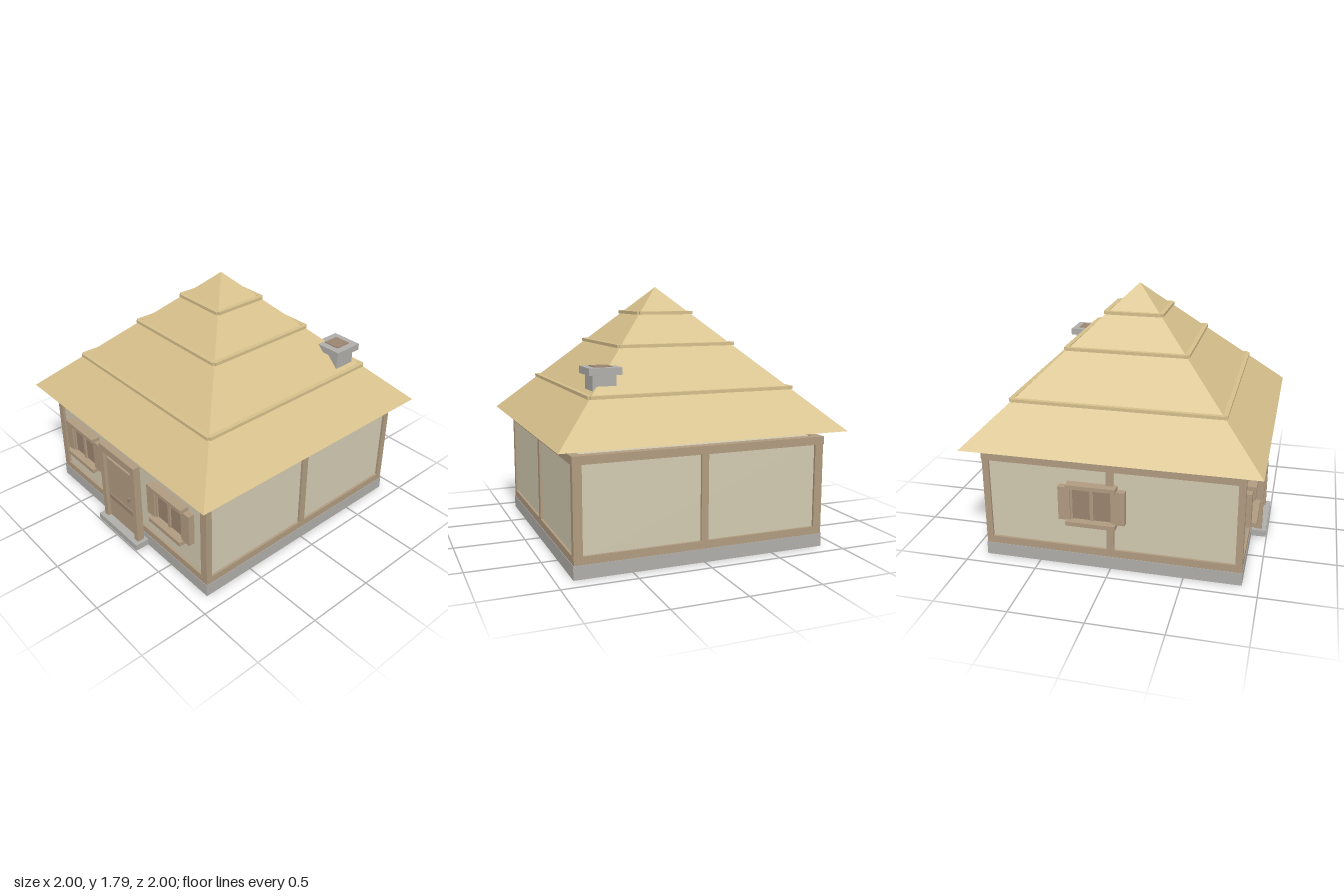
import * as THREE from 'three';

const mat = (color) => new THREE.MeshStandardMaterial({ color, flatShading: true });
const thatch = mat(0xd6bf8b), wood = mat(0xb09b80), plaster = mat(0xd2cab1);
const stone = mat(0xb0aeaa), darkWood = mat(0x9b8470);

// Box given by its limits on each axis
function box(parent, name, material, [x0, x1], [y0, y1], [z0, z1]) {
  const mesh = new THREE.Mesh(new THREE.BoxGeometry(x1 - x0, y1 - y0, z1 - z0), material);
  mesh.position.set((x0 + x1) / 2, (y0 + y1) / 2, (z0 + z1) / 2);
  mesh.name = name;
  parent.add(mesh);
  return mesh;
}

function group(parent, name) {
  const g = new THREE.Group();
  g.name = name;
  parent.add(g);
  return g;
}

// Shuttered window on the +z wall, centred on x = 0 of its group
function makeWindow(parent, name) {
  const g = group(parent, name);
  box(g, 'windowPane', darkWood, [-0.14, 0.14], [0.35, 0.6], [0.86, 0.893]);
  box(g, 'windowSill', wood, [-0.17, 0.17], [0.33, 0.36], [0.865, 0.95]);
  box(g, 'windowLintel', wood, [-0.17, 0.17], [0.595, 0.623], [0.865, 0.938]);
  box(g, 'mullion', wood, [-0.012, 0.012], [0.36, 0.595], [0.87, 0.905]);
  for (const s of [-1, 1]) {
    const shutter = box(g, 'shutter', wood, [-0.041, 0.041], [0.355, 0.595], [0.865, 0.916]);
    shutter.position.x = s * 0.187;
    const jamb = box(g, 'windowJamb', wood, [-0.008, 0.008], [0.36, 0.595], [0.87, 0.905]);
    jamb.position.x = s * 0.138;
  }
  return g;
}

export function createModel() {
  const house = new THREE.Group();
  house.name = 'cottage';

  // Base and walls
  box(house, 'foundation', stone, [-0.89, 0.89], [0, 0.092], [-0.89, 0.89]);
  box(house, 'walls', plaster, [-0.87, 0.87], [0.09, 0.77], [-0.87, 0.87]);

  // Timber frame, one set of beams per side
  const frame = group(house, 'timberFrame');
  for (let i = 0; i < 4; i++) {
    const side = group(frame, 'wallTimbers');
    side.rotation.y = i * Math.PI / 2;
    box(side, 'bottomBeam', wood, [-0.885, 0.885], [0.092, 0.145], [0.83, 0.887]);
    box(side, 'topBeam', wood, [-0.89, 0.89], [0.722, 0.777], [0.83, 0.89]);
    if (i > 0) box(side, 'middlePost', wood, [-0.025, 0.025], [0.145, 0.722], [0.84, 0.887]);
  }
  for (const sx of [-1, 1]) for (const sz of [-1, 1]) {
    const post = box(frame, 'cornerPost', wood, [-0.03, 0.03], [0.145, 0.722], [-0.023, 0.023]);
    post.position.x = sx * 0.856;
    post.position.z = sz * 0.864;
  }

  // Door standing just ahead of the front wall
  const door = group(house, 'doorway');
  box(door, 'doorStep', stone, [-0.235, 0.235], [0.004, 0.052], [0.88, 0.995]);
  box(door, 'doorLintel', wood, [-0.21, 0.21], [0.635, 0.69], [0.908, 0.962]);
  box(door, 'leftJamb', wood, [0.167, 0.21], [0.052, 0.635], [0.908, 0.962]);
  box(door, 'rightJamb', wood, [-0.21, -0.167], [0.052, 0.635], [0.908, 0.962]);
  box(door, 'doorLeaf', wood, [-0.167, 0.167], [0, 0.575], [0.91, 0.935]);
  box(door, 'doorPlank', darkWood, [-0.148, 0.148], [0.233, 0.267], [0.93, 0.946]);
  box(door, 'doorHandle', darkWood, [0.102, 0.12], [0.342, 0.377], [0.93, 0.955]);

  // Two front windows and one on the right wall
  makeWindow(house, 'frontLeftWindow').position.x = 0.517;
  makeWindow(house, 'frontRightWindow').position.x = -0.52;
  const sideWindow = makeWindow(house, 'sideWindow');
  sideWindow.rotation.y = -Math.PI / 2;
  sideWindow.position.z = -0.12;

  // Pyramid roof with three square trim bands
  const roof = group(house, 'roof');
  const cone = new THREE.ConeGeometry(Math.SQRT2, 0.962, 4).rotateY(Math.PI / 4);
  const pyramid = new THREE.Mesh(cone, thatch);
  pyramid.name = 'roofPyramid';
  pyramid.position.y = 0.824 + 0.481;
  roof.add(pyramid);
  for (const [y, half] of [[1.102, 0.72], [1.393, 0.42], [1.605, 0.197]]) {
    const band = group(roof, 'roofBand');
    for (let i = 0; i < 4; i++) {
      const edge = box(band, 'roofBandBar', thatch, [-half, half],
        [y - 0.011, y + 0.011], [half - 0.015, half + 0.015]);
      edge.position.applyAxisAngle(new THREE.Vector3(0, 1, 0), i * Math.PI / 2);
      edge.rotation.y = i * Math.PI / 2;
    }
  }

  // Chimney on the rear left hip
  const chimney = group(house, 'chimney');
  box(chimney, 'chimneyStack', stone, [0.52, 0.68], [1.05, 1.24], [-0.65, -0.488]);
  box(chimney, 'chimneyCap', stone, [0.488, 0.71], [1.233, 1.28], [-0.678, -0.457]);
  box(chimney, 'chimneyFlue', darkWood, [0.54, 0.66], [1.24, 1.286], [-0.628, -0.508]);

  return house;
}
